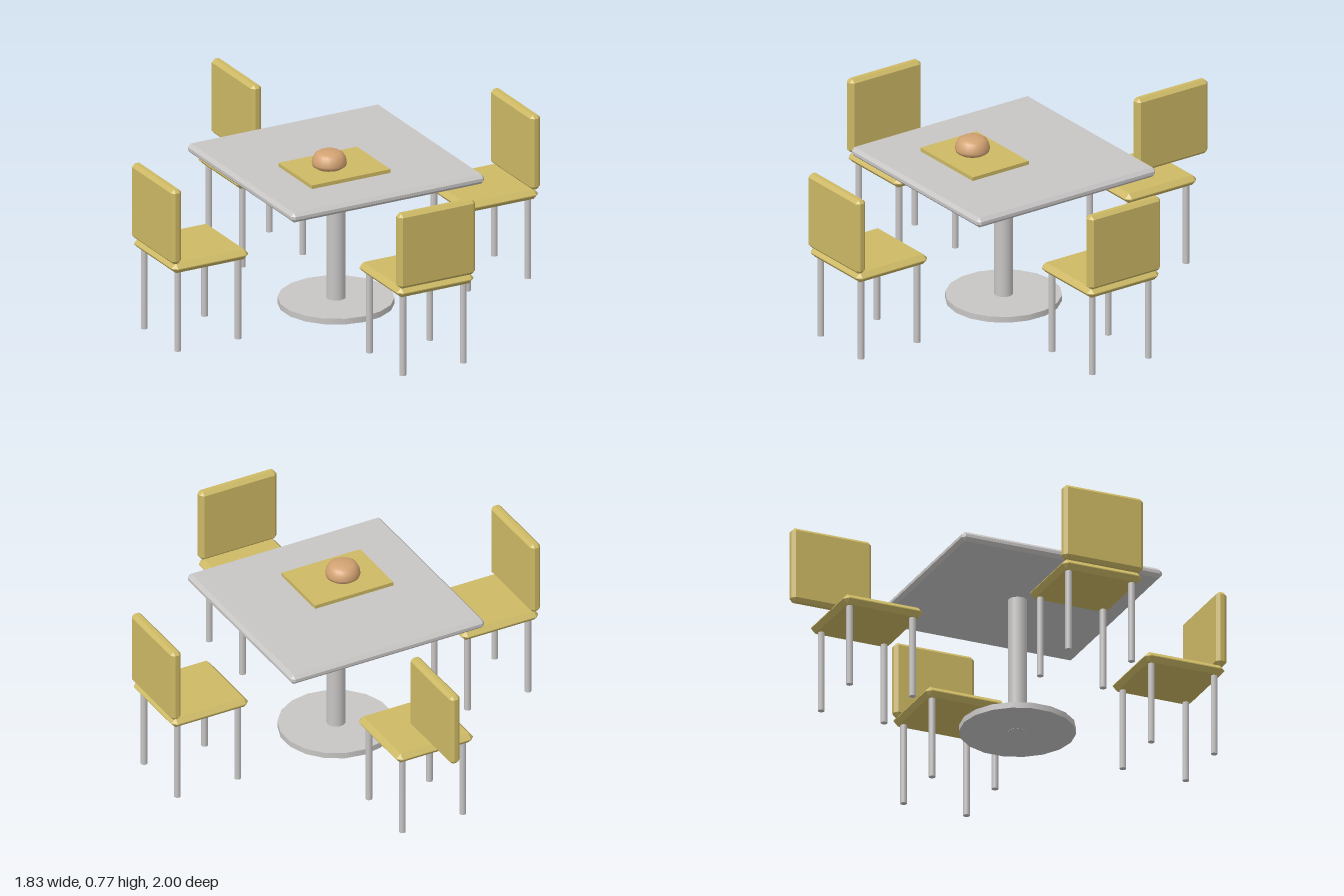
import * as THREE from 'three';
import { ConvexGeometry } from 'three/addons/geometries/ConvexGeometry.js';

const material = (name, color) => {
  const m = new THREE.MeshStandardMaterial({ color });
  m.name = name;
  return m;
};

// Box with every edge and corner cut by a flat chamfer
function chamferBox(w, h, d, b) {
  const pts = [];
  const [x, y, z] = [w / 2, h / 2, d / 2];
  for (const sx of [-1, 1]) for (const sy of [-1, 1]) for (const sz of [-1, 1]) {
    pts.push(new THREE.Vector3(sx * x, sy * (y - b), sz * (z - b)));
    pts.push(new THREE.Vector3(sx * (x - b), sy * y, sz * (z - b)));
    pts.push(new THREE.Vector3(sx * (x - b), sy * (y - b), sz * z));
  }
  return new ConvexGeometry(pts);
}

function add(parent, name, geometry, mat, x, y, z) {
  const mesh = new THREE.Mesh(geometry, mat);
  mesh.name = name;
  mesh.position.set(x, y, z);
  parent.add(mesh);
  return mesh;
}

export function createModel() {
  const mustard = material('mustard', 0xcdb965);
  const metal = material('light grey', 0xc8c6c5);
  const clay = material('tan', 0xd2a272);

  const model = new THREE.Group();
  model.name = 'diningSet';
  const centreZ = 0.083;

  // Pedestal table
  const table = new THREE.Group();
  table.name = 'table';
  table.position.z = centreZ;
  model.add(table);
  add(table, 'tableTop', chamferBox(0.96, 0.044, 0.955, 0.015), metal, 0, 0.654, 0);
  add(table, 'pedestal', new THREE.CylinderGeometry(0.042, 0.042, 0.635, 16), metal, 0, 0.3175, 0);
  add(table, 'tableBase', new THREE.CylinderGeometry(0.255, 0.255, 0.027, 18), metal, 0, 0.0145, 0);

  // Serving board with a bun-shaped bowl on it
  add(model, 'board', new THREE.BoxGeometry(0.39, 0.018, 0.3), mustard, -0.067, 0.684, 0.19);
  const bowlProfile = [[0, 0], [0.06, 0], [0.074, 0.01], [0.077, 0.022], [0.073, 0.042],
    [0.063, 0.06], [0.048, 0.07], [0.025, 0.074], [0, 0.075]]
    .map(([r, y]) => new THREE.Vector2(r, y));
  add(model, 'bowl', new THREE.LatheGeometry(bowlProfile, 20), clay, -0.09, 0.693, 0.185);

  // Chairs: the backrest lies on the local +z side
  const seatGeometry = chamferBox(0.38, 0.046, 0.38, 0.021);
  const backGeometry = chamferBox(0.38, 0.35, 0.05, 0.015);
  const legGeometry = new THREE.CylinderGeometry(0.015, 0.015, 0.385, 10);

  function chair(name, x, z, turn, backX = 0, backZ = 0.172, backTurn = 0) {
    const group = new THREE.Group();
    group.name = name;
    group.position.set(x, 0, z);
    group.rotation.y = turn;
    add(group, 'seat', seatGeometry, mustard, 0, 0.397, 0);
    add(group, 'backrest', backGeometry, mustard, backX, 0.595, backZ).rotation.y = backTurn;
    for (const sx of [-1, 1]) for (const sz of [-1, 1]) {
      add(group, 'leg', legGeometry, metal, sx * 0.15, 0.1925, sz * 0.15);
    }
    model.add(group);
  }

  chair('frontChair', 0, 0.803, 0);
  chair('leftChair', 0.72, centreZ, Math.PI / 2);
  chair('rightChair', -0.72, centreZ, -Math.PI / 2);
  // The rear chair's backrest stands edge-on to the table
  chair('rearChair', 0, -0.636, 0, 0, -0.174, Math.PI / 2);

  return model;
}
